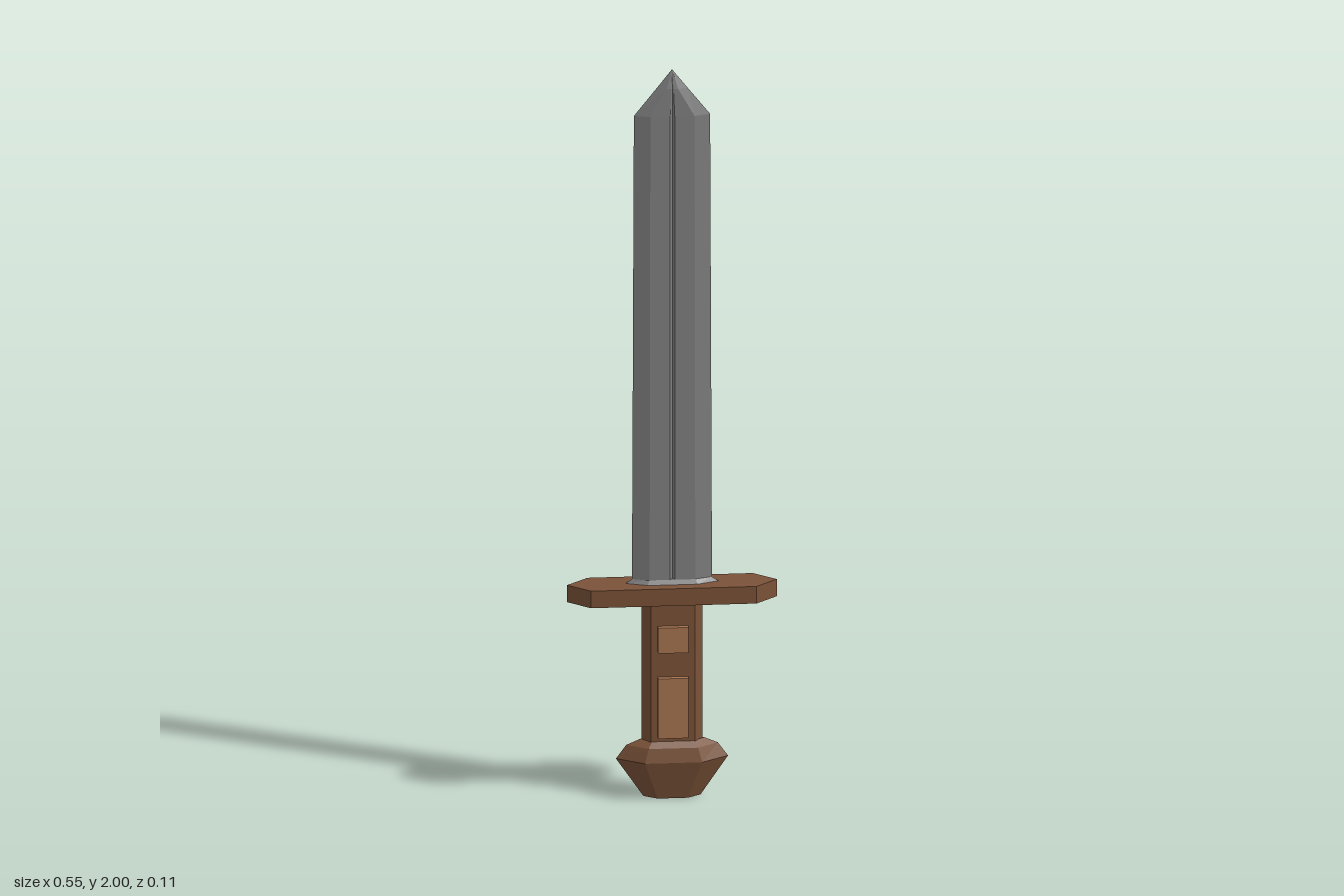
import * as THREE from 'three';

const material = (color) =>
  new THREE.MeshStandardMaterial({ color, flatShading: true });

// Flattened hexagon: half width w, flat half width c, half depth d;
// an optional groove (half width g, depth h) runs along both flats.
function hexRing({ w, c, d, g = 0, h = 0 }) {
  const side = g ? [[c, d], [g, d], [0, d - h], [-g, d], [-c, d]] : [[c, d], [-c, d]];
  const half = [[w, 0], ...side];
  return [...half, ...half.map(([x, z]) => [-x, -z])];
}

// Skin a stack of hexagonal sections and close both ends.
function loft(name, mat, sections) {
  const positions = [], index = [];
  const rings = sections.map(hexRing);
  const n = rings[0].length;
  rings.forEach((ring, k) => ring.forEach(([x, z]) => positions.push(x, sections[k].y, z)));
  const bottom = rings.length * n, top = bottom + 1;
  positions.push(0, sections[0].y, 0, 0, sections.at(-1).y, 0);
  for (let i = 0; i < n; i++) {
    const j = (i + 1) % n;
    for (let k = 0; k < rings.length - 1; k++) {
      const a = k * n + i, b = k * n + j;
      index.push(a, a + n, b, b, a + n, b + n);
    }
    const last = (rings.length - 1) * n;
    index.push(bottom, i, j, top, last + j, last + i);
  }
  const indexed = new THREE.BufferGeometry();
  indexed.setAttribute('position', new THREE.Float32BufferAttribute(positions, 3));
  indexed.setIndex(index);
  const geometry = indexed.toNonIndexed();
  geometry.computeVertexNormals();
  const mesh = new THREE.Mesh(geometry, mat);
  mesh.name = name;
  return mesh;
}

export function createModel() {
  const model = new THREE.Group();
  model.name = 'sword';
  const steel = material(0x808080);
  const wood = material(0x7a5238);
  const paleWood = material(0xa87550);

  // Pommel: widest a little below its shoulder
  model.add(loft('pommel', wood, [
    { y: 0, w: 0.075, c: 0.04, d: 0.025 },
    { y: 0.105, w: 0.147, c: 0.075, d: 0.05 },
    { y: 0.142, w: 0.12, c: 0.065, d: 0.04 },
    { y: 0.157, w: 0.085, c: 0.055, d: 0.026 },
  ]));

  // Grip
  model.add(loft('grip', wood, [
    { y: 0.15, w: 0.08, c: 0.058, d: 0.026 },
    { y: 0.545, w: 0.08, c: 0.058, d: 0.026 },
  ]));

  // Raised panels on the front and back of the grip
  for (const side of [1, -1]) {
    for (const [name, low, high] of [['lowerGripPanel', 0.17, 0.335], ['upperGripPanel', 0.405, 0.475]]) {
      const panel = new THREE.Mesh(new THREE.BoxGeometry(0.08, high - low, 0.022), paleWood);
      panel.name = name;
      panel.position.set(0, (low + high) / 2, side * 0.031);
      model.add(panel);
    }
  }

  // Crossguard with pointed ends
  model.add(loft('crossguard', wood, [
    { y: 0.54, w: 0.275, c: 0.217, d: 0.055 },
    { y: 0.587, w: 0.275, c: 0.217, d: 0.055 },
  ]));

  // Low collar where the blade meets the guard
  model.add(loft('bladeCollar', steel, [
    { y: 0.585, w: 0.125, c: 0.066, d: 0.024 },
    { y: 0.6, w: 0.103, c: 0.06, d: 0.014 },
  ]));

  // Blade with a fine central groove and a short point
  model.add(loft('blade', steel, [
    { y: 0.587, w: 0.105, c: 0.06, d: 0.015, g: 0.006, h: 0.006 },
    { y: 1.875, w: 0.1, c: 0.058, d: 0.014, g: 0.006, h: 0.006 },
    { y: 1.95, w: 0.04, c: 0.015, d: 0.012, g: 0.003, h: 0.002 },
    { y: 2, w: 0.0005, c: 0.0003, d: 0.0005, g: 0.0001, h: 0 },
  ]));

  return model;
}
